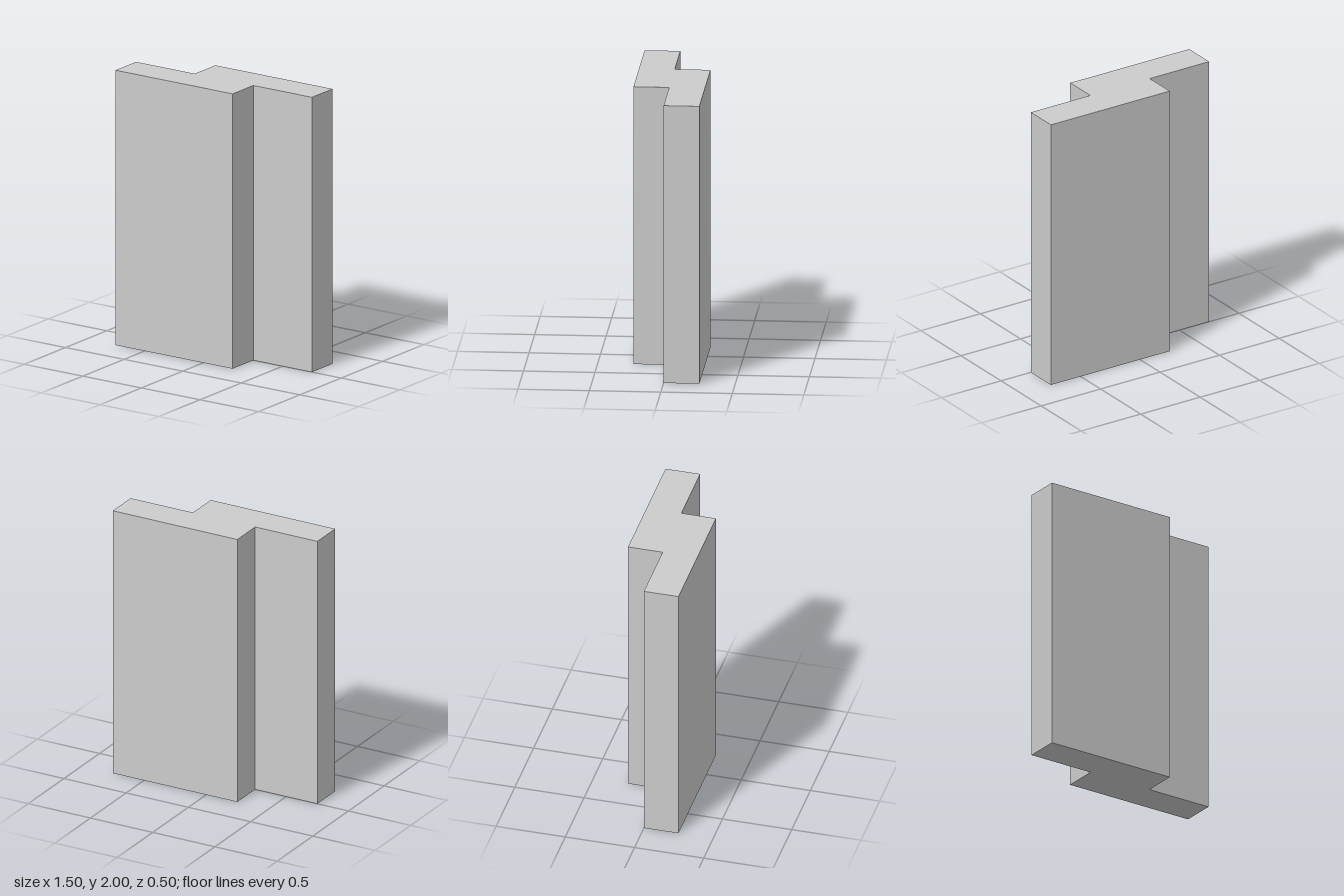
import * as THREE from 'three';

export function createModel() {
  const group = new THREE.Group();

  // Half of the stepped plan; a half turn about the centre gives the rest
  const half = [[-0.75, -0.25], [0.25, -0.25], [0.25, 0], [0.75, 0]];
  const outline = [...half, ...half.map(([x, y]) => [-x, -y])]
    .map(([x, y]) => new THREE.Vector2(x, y));

  // Extrude the plan and stand it upright
  const geometry = new THREE.ExtrudeGeometry(new THREE.Shape(outline), {
    depth: 2,
    bevelEnabled: false,
  });
  geometry.rotateX(-Math.PI / 2);

  const block = new THREE.Mesh(
    geometry,
    new THREE.MeshStandardMaterial({ color: 0xcccccc, flatShading: true }),
  );
  block.name = 'steppedBlock';
  group.add(block);
  return group;
}
